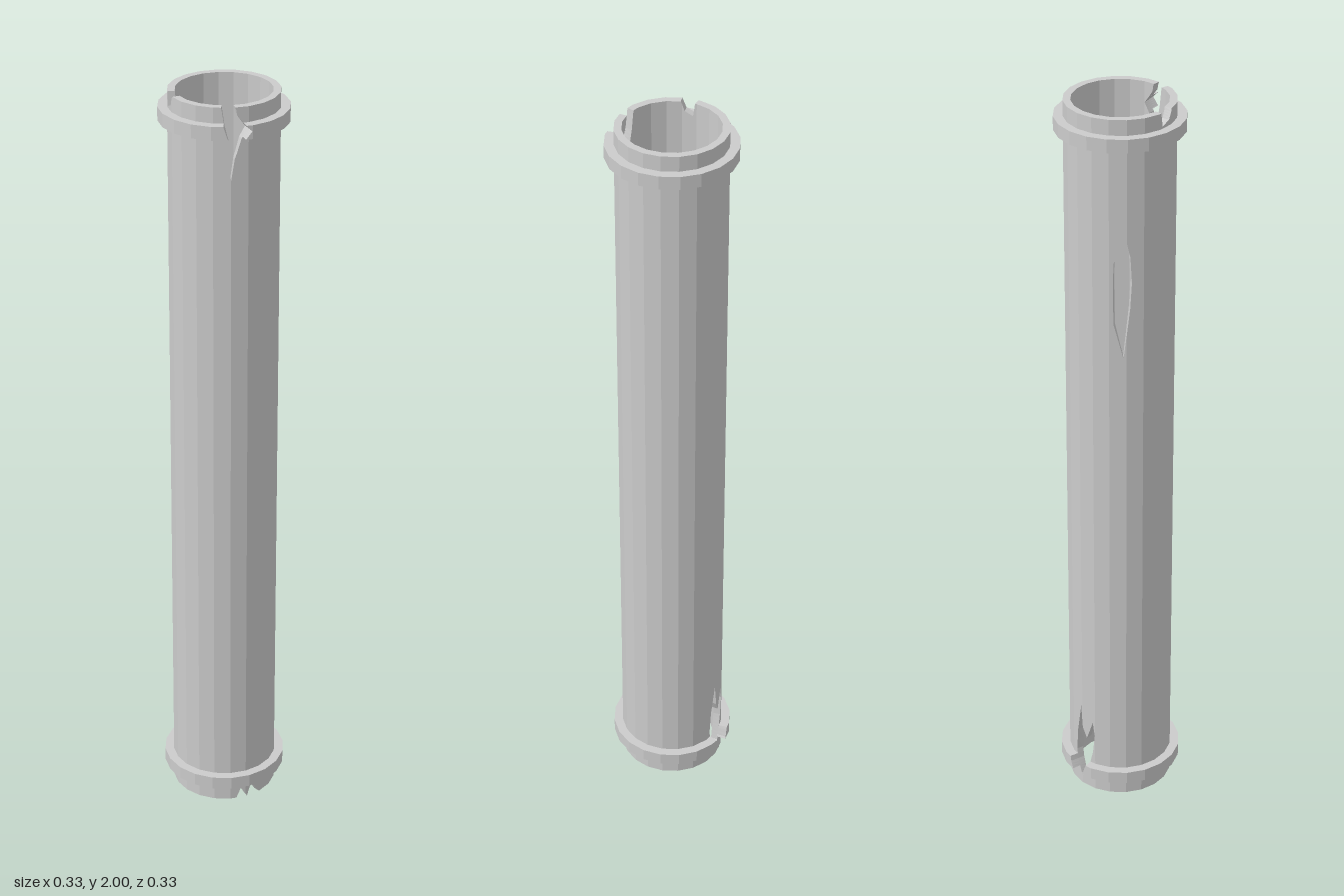
import * as THREE from 'three';

const SIDES = 20;
const STEP = (2 * Math.PI) / SIDES;

// Each cut is a row of stations [angle, low y, high y]; angle 0 is the front, growing toward +x.
const CUTS = [
  // large crack through the top rim
  [[0.14, 2, 2.01], [0.2, 1.95, 2.01], [0.28, 1.91, 2.01], [0.31, 1.81, 2.01], [0.38, 1.87, 2.01],
    [0.42, 1.885, 1.98], [0.5, 1.92, 1.965], [0.62, 1.945, 1.945]],
  // small chip in the top rim
  [[-1.22, 2, 2.01], [-1.18, 1.965, 2.01], [-1.0, 1.975, 2.01], [-0.92, 2, 2.01]],
  // two chips in the bottom rim
  [[0.44, -0.01, 0], [0.53, -0.01, 0.03], [0.66, -0.01, 0]],
  [[0.66, -0.01, 0], [0.76, -0.01, 0.04], [0.95, -0.01, 0]],
  // long gash high on the back
  [[-2.13, 1.54, 1.54], [-2.12, 1.455, 1.62], [-1.94, 1.36, 1.71], [-1.82, 1.5, 1.64], [-1.79, 1.57, 1.57]],
  // ragged hole low on the back, through the lower collar
  [[-3.03, 0.1, 0.1], [-2.99, 0.07, 0.17], [-2.87, 0.03, 0.26], [-2.82, 0.025, 0.19],
    [-2.72, 0.04, 0.16], [-2.57, 0.12, 0.22], [-2.52, 0.18, 0.18]],
];

// Angles at which the wall is sliced: facet corners, cut stations and fine steps along each cut
function sliceAngles() {
  const angles = [];
  for (let i = 0; i <= SIDES; i++) angles.push(-Math.PI + i * STEP);
  for (const cut of CUTS) {
    const first = cut[0][0], last = cut[cut.length - 1][0];
    for (const s of cut) angles.push(s[0]);
    for (let a = first + 0.02; a < last; a += 0.02) angles.push(a);
  }
  angles.sort((p, q) => p - q);
  return angles.filter((a, i) => i === 0 || a - angles[i - 1] > 1e-5);
}

// Low and high y of a cut at an angle
function cutAt(cut, a) {
  for (let i = 1; i < cut.length; i++) {
    const p = cut[i - 1], q = cut[i];
    if (a <= q[0] + 1e-4) {
      const t = THREE.MathUtils.clamp((a - p[0]) / (q[0] - p[0]), 0, 1);
      return [p[1] + (q[1] - p[1]) * t, p[2] + (q[2] - p[2]) * t];
    }
  }
  return cut[cut.length - 1].slice(1);
}

// Point on a faceted cylinder
function point(r, a, y) {
  const local = a - (Math.floor(a / STEP + 1e-6) + 0.5) * STEP;
  const d = (r * Math.cos(STEP / 2)) / Math.cos(local);
  return new THREE.Vector3(d * Math.sin(a), y, d * Math.cos(a));
}

// Faceted tube with thickness, with all cuts taken out of it
function brokenTube(rIn, rOut, y0, y1) {
  const positions = [];
  const tri = new THREE.Triangle();
  const addTri = (a, b, c) => {
    if (tri.set(a, b, c).getArea() > 1e-9) for (const p of [a, b, c]) positions.push(p.x, p.y, p.z);
  };
  const quad = (a, b, c, d) => { addTri(a, b, c); addTri(a, c, d); };
  const clamp = THREE.MathUtils.clamp;
  const angles = sliceAngles();

  for (let i = 1; i < angles.length; i++) {
    const a0 = angles[i - 1], a1 = angles[i], mid = (a0 + a1) / 2;
    // spans of remaining wall: bottom and top at both ends of the slice
    let spans = [{ b: [y0, y0], t: [y1, y1] }];
    for (const cut of CUTS) {
      if (mid < cut[0][0] || mid > cut[cut.length - 1][0]) continue;
      const ends = [cutAt(cut, a0), cutAt(cut, a1)];
      spans = spans.flatMap(({ b, t }) => [
        { b, t: ends.map((e, k) => clamp(e[0], b[k], t[k])) },
        { b: ends.map((e, k) => clamp(e[1], b[k], t[k])), t },
      ]).filter(({ b, t }) => t[0] - b[0] > 1e-6 || t[1] - b[1] > 1e-6);
    }
    for (const { b, t } of spans) {
      const corners = (r) => [point(r, a0, b[0]), pointEnd(r, b[1]), pointEnd(r, t[1]), point(r, a0, t[0])];
      const pointEnd = (r, y) => point(r, a1, y);
      const o = corners(rOut), n = corners(rIn);
      quad(o[0], o[1], o[2], o[3]); // outside
      quad(n[1], n[0], n[3], n[2]); // inside
      quad(o[3], o[2], n[2], n[3]); // upper edge
      quad(o[1], o[0], n[0], n[1]); // lower edge
    }
  }
  const geometry = new THREE.BufferGeometry();
  geometry.setAttribute('position', new THREE.Float32BufferAttribute(positions, 3));
  geometry.computeVertexNormals();
  return geometry;
}

export function createModel() {
  const group = new THREE.Group();
  group.name = 'brokenPipe';
  const material = new THREE.MeshStandardMaterial({ color: 0xcccccc, flatShading: true, side: THREE.DoubleSide });
  const add = (name, ...size) => {
    const mesh = new THREE.Mesh(brokenTube(...size), material);
    mesh.name = name;
    group.add(mesh);
  };
  add('pipeWall', 0.121, 0.14, 0, 2);
  add('lowerCollar', 0.138, 0.164, 0.05, 0.085);
  add('upperCollar', 0.138, 0.164, 1.925, 1.96);
  return group;
}
